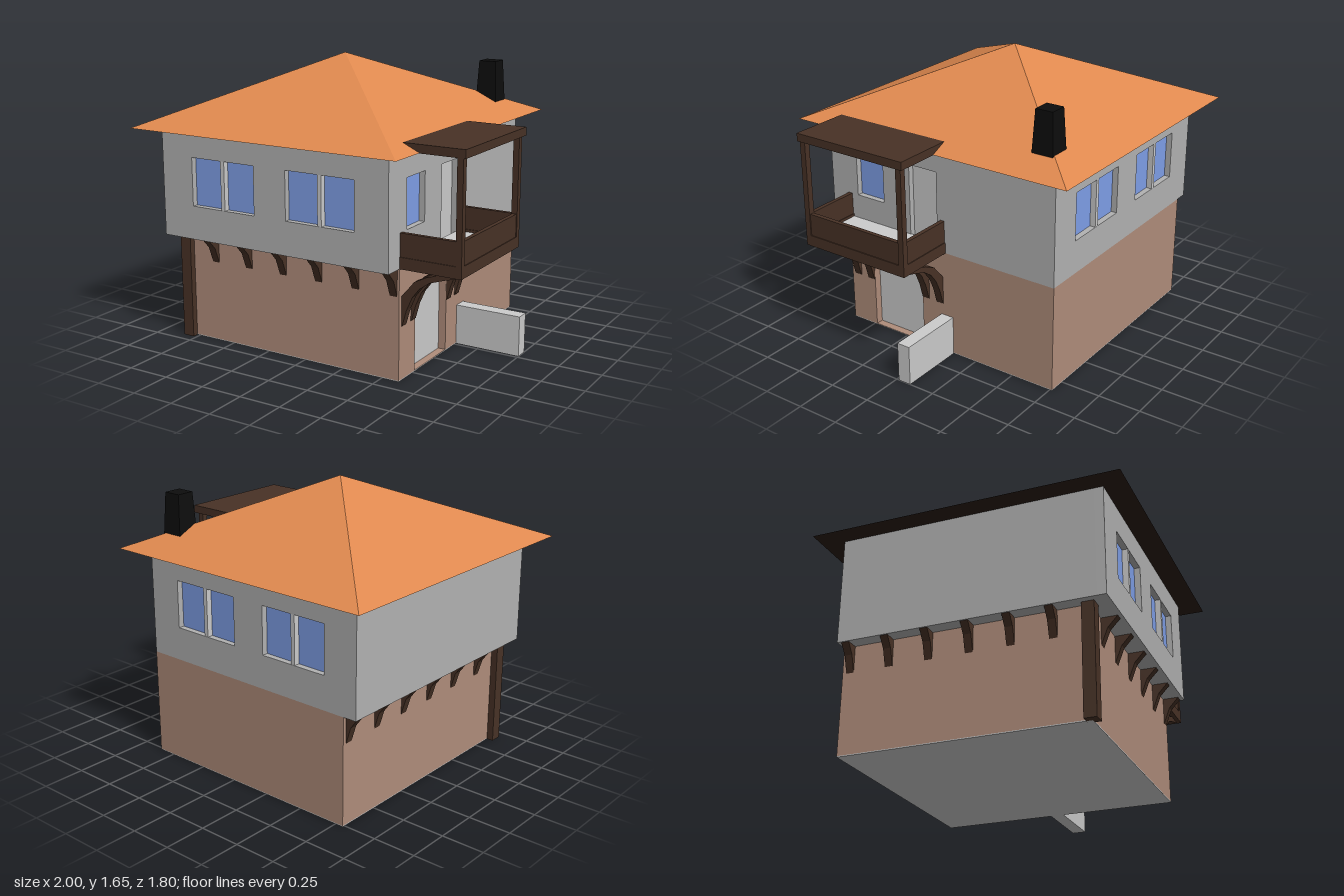
import * as THREE from 'three';

const mat = (color) => new THREE.MeshStandardMaterial({ color, flatShading: true });

export function createModel() {
  const model = new THREE.Group();
  model.name = 'house';
  const grey = mat(0xcccccc), plaster = mat(0xb2b2b2), brick = mat(0xb08d7b), wood = mat(0x483226);
  const glass = mat(0x7f9fe8), tile = mat(0xe0894f), soffit = mat(0x2a1c14), soot = mat(0x0d0d0d);

  const add = (name, geometry, material, parent = model) => {
    const mesh = new THREE.Mesh(geometry, material);
    mesh.name = name;
    parent.add(mesh);
    return mesh;
  };
  // Box given by its limits on each axis
  const box = (name, [x0, x1], [y0, y1], [z0, z1], material, parent) => {
    const g = new THREE.BoxGeometry(x1 - x0, y1 - y0, z1 - z0);
    g.translate((x0 + x1) / 2, (y0 + y1) / 2, (z0 + z1) / 2);
    return add(name, g, material, parent);
  };
  const rect = (Type, [a0, a1], [y0, y1]) => new Type([[a0, y0], [a1, y0], [a1, y1], [a0, y1]]
    .map(([a, y]) => new THREE.Vector2(a, y)));
  // Wall slab with rectangular openings, extruded along +z
  const wall = (span, height, depth, openings) => {
    const shape = rect(THREE.Shape, span, height);
    for (const [a, y] of openings) shape.holes.push(rect(THREE.Path, a, y));
    return new THREE.ExtrudeGeometry(shape, { depth, bevelEnabled: false });
  };
  // Flat profile (outward, up) given a thickness, centred on z = 0
  const profile = (points, width) => {
    const shape = new THREE.Shape(points.map(([a, y]) => new THREE.Vector2(a, y)));
    return new THREE.ExtrudeGeometry(shape, { depth: width, bevelEnabled: false }).translate(0, 0, -width / 2);
  };

  // Ground storey with a recessed door on the +x side
  box('groundSlab', [-0.80, 0.605], [0, 0.006], [-0.765, 0.655], grey);
  box('lowerStorey', [-0.80, 0.545], [0.006, 0.63], [-0.765, 0.655], brick);
  const lowerSide = wall([-0.655, 0.765], [0.006, 0.63], 0.06, [[[-0.48, -0.12], [0.007, 0.475]]]);
  add('lowerDoorWall', lowerSide.rotateY(Math.PI / 2).translate(0.545, 0, 0), brick);
  box('lowerDoor', [0.545, 0.56], [0.006, 0.475], [0.12, 0.48], grey);
  box('gardenWall', [0.605, 1], [0, 0.235], [-0.095, -0.015], grey);
  box('cornerPost', [-0.84, -0.77], [0, 0.63], [0.62, 0.69], wood);

  // Upper storey: core, then slabs with openings
  const upY = [0.63, 1.26], winY = [0.825, 1.105];
  const pairs = [[-0.67, -0.245], [-0.035, 0.40]];
  box('upperStorey', [-0.88, 0.555], upY, [-0.715, 0.72], plaster);
  for (const [side, z] of [['front', 0.72], ['back', -0.765]]) {
    add(side + 'Wall', wall([-0.88, 0.605], upY, 0.05, pairs.map((p) => [p, winY])).translate(0, 0, z), plaster);
    for (const [x0, x1] of pairs) {
      const window = new THREE.Group();
      window.name = side + 'Window';
      model.add(window);
      const mid = (x0 + x1) / 2;
      box('windowPanes', [x0, x1], winY, [z + 0.005, z + 0.045].map((v) => (side === 'front' ? v - 0.03 : v + 0.03)), glass, window);
      box('mullion', [mid - 0.0125, mid + 0.0125], winY, [z + 0.001, z + 0.049], grey, window);
    }
  }
  const upperSide = wall([-0.72, 0.715], upY, 0.05, [[[-0.58, -0.385], winY], [[-0.195, -0.005], [0.66, 1.105]]]);
  add('balconyWall', upperSide.rotateY(Math.PI / 2).translate(0.555, 0, 0), plaster);
  box('sideWindowPane', [0.55, 0.57], winY, [0.385, 0.58], glass);
  box('balconyDoor', [0.55, 0.57], [0.66, 1.105], [0.005, 0.195], grey);

  // Wooden brackets under the overhangs
  const bracket = (depth) => profile([[-0.01, 0.63], [-0.01, 0.475], [0, 0.475], [depth * 0.4, 0.57], [depth, 0.63]], 0.045);
  for (let i = 0; i < 6; i++) {
    const front = add('frontBracket', bracket(0.093), wood);
    front.rotation.y = -Math.PI / 2;
    front.position.set(-0.61 + i * 0.236, 0, 0.655);
    const left = add('sideBracket', bracket(0.073), wood);
    left.rotation.y = Math.PI;
    left.position.set(-0.80, 0, -0.72 + i * 0.235);
  }

  // Balcony: floor, edge beams, panels, posts and flat roof
  const balcony = new THREE.Group();
  balcony.name = 'balcony';
  model.add(balcony);
  box('balconyFloor', [0.60, 0.94], [0.635, 0.68], [-0.03, 0.63], grey, balcony);
  box('outerBeam', [0.93, 0.965], [0.63, 0.695], [-0.05, 0.655], wood, balcony);
  box('outerPanel', [0.935, 0.96], [0.695, 0.825], [-0.015, 0.62], wood, balcony);
  for (const [z0, z1] of [[-0.05, -0.015], [0.62, 0.655]]) {
    box('sideBeam', [0.605, 0.93], [0.63, 0.695], [z0, z1], wood, balcony);
    box('sidePanel', [0.605, 0.93], [0.695, 0.825], [z0 + 0.005, z1 - 0.005], wood, balcony);
    box('balconyPost', [0.93, 0.965], [0.695, 1.26], [z0, z1], wood, balcony);
  }
  box('balconyRoof', [0.62, 0.98], [1.258, 1.305], [-0.07, 0.66], wood, balcony);

  // Curved braces under the balcony
  const brace = [[0.60, 0.30], [0.61, 0.31], [0.635, 0.40], [0.668, 0.475], [0.71, 0.53], [0.77, 0.573], [0.86, 0.603],
    [0.96, 0.63], [0.84, 0.63], [0.75, 0.6], [0.68, 0.565], [0.635, 0.51], [0.605, 0.475], [0.60, 0.475]];
  for (const z of [0.607, 0.505, 0.095, -0.005]) {
    add('balconyBrace', profile(brace, 0.047), wood, balcony).position.z = z;
  }

  // Hipped roof with a dark underside
  const roof = new THREE.ConeGeometry(Math.SQRT1_2, 1, 4, 1, true).rotateY(Math.PI / 4);
  add('roof', roof.scale(1.72, 0.39, 1.8).translate(-0.14, 1.455, 0), tile);
  const under = new THREE.PlaneGeometry(1.72, 1.8).rotateX(Math.PI / 2);
  add('roofUnderside', under.translate(-0.14, 1.26, 0), soffit);

  // Tapered chimney
  const stack = new THREE.CylinderGeometry(0.105 * Math.SQRT1_2, 0.13 * Math.SQRT1_2, 0.245, 4).rotateY(Math.PI / 4);
  add('chimney', stack.translate(0.488, 1.4525, -0.645), soot);

  return model;
}
